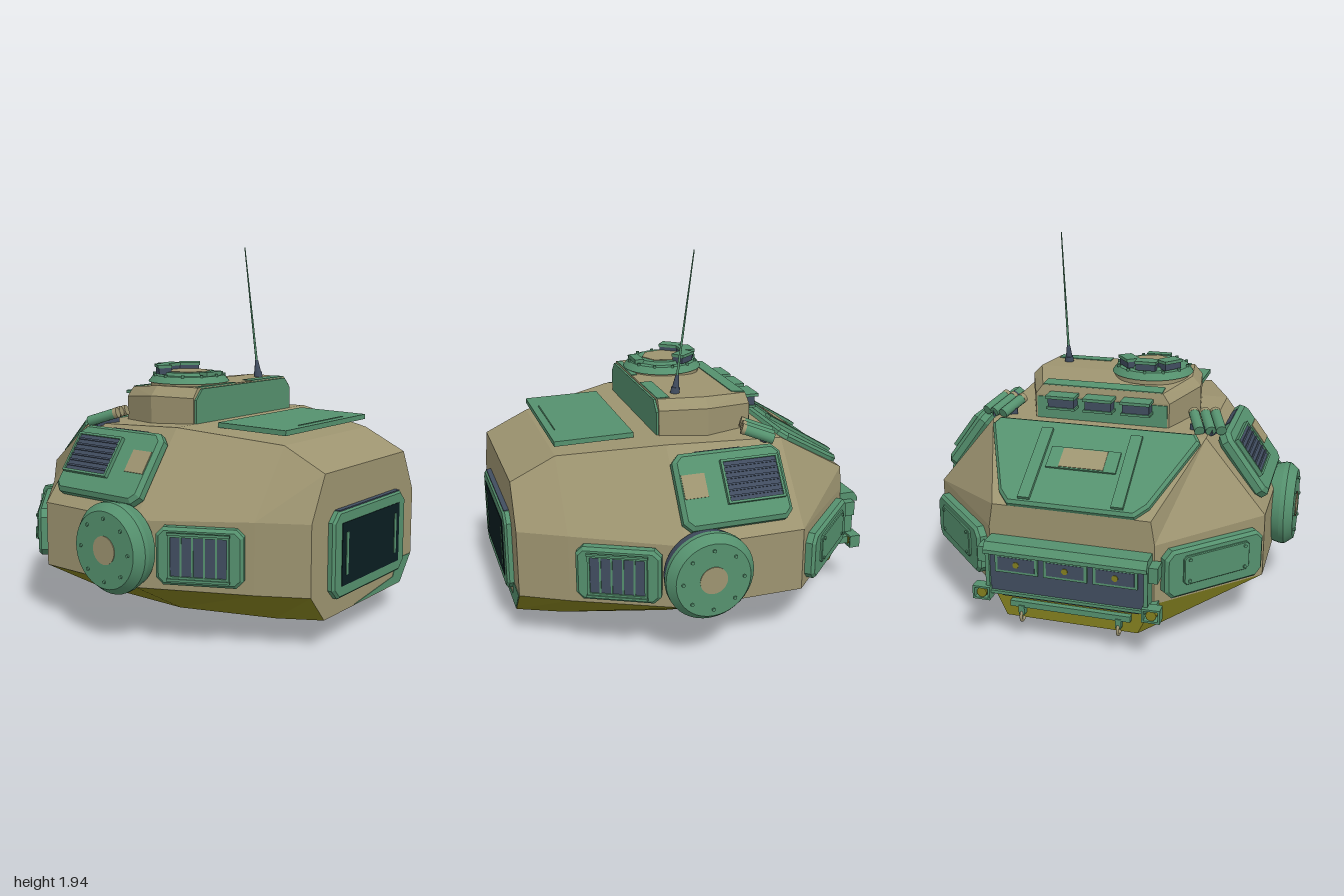
import * as THREE from 'three';
import { ConvexGeometry } from 'three/addons/geometries/ConvexGeometry.js';

const mat = (name, color) => Object.assign(new THREE.MeshStandardMaterial({ color }), { name });
const tan = mat('tan', 0x9d9470), green = mat('green', 0x55916e), olive = mat('olive', 0x83801f);
const slate = mat('slate', 0x414d60), glass = mat('dark glass', 0x0a1d21);

function add(parent, name, geometry, material, x = 0, y = 0, z = 0) {
  const m = new THREE.Mesh(geometry, material);
  m.name = name;
  m.position.set(x, y, z);
  parent.add(m);
  return m;
}
const box = (p, name, m, w, h, d, x, y, z) => add(p, name, new THREE.BoxGeometry(w, h, d), m, x, y, z);

// Bevelled plate from an outline, lying on local z = 0 and facing +z
function outline(p, name, m, pts, d, bevel = 0, x = 0, y = 0, z = 0) {
  const shape = new THREE.Shape(pts.map(([a, b]) => new THREE.Vector2(a, b)));
  const geo = new THREE.ExtrudeGeometry(shape, {
    depth: d - bevel, bevelEnabled: bevel > 0, bevelThickness: bevel, bevelSize: bevel, bevelOffset: -bevel, bevelSegments: 1,
  });
  return add(p, name, geo, m, x, y, z);
}
// Rectangle with cut corners
function cutRect(w, h, c) {
  const a = w / 2, b = h / 2;
  return [[-a + c, -b], [a - c, -b], [a, -b + c], [a, b - c], [a - c, b], [-a + c, b], [-a, b - c], [-a, -b + c]];
}
// Group on a surface: local z is the normal, local y points up the surface
function mount(parent, name, pos, normal) {
  const g = new THREE.Group(), n = new THREE.Vector3(...normal).normalize();
  const x = new THREE.Vector3(0, 1, 0).cross(n).normalize();
  g.quaternion.setFromRotationMatrix(new THREE.Matrix4().makeBasis(x, n.clone().cross(x), n));
  g.position.set(...pos);
  g.name = name;
  parent.add(g);
  return g;
}
function bolts(p, pts, z, r = 0.009) {
  for (const [x, y] of pts) add(p, 'bolt', new THREE.CylinderGeometry(r, r, 0.012, 6).rotateX(Math.PI / 2), green, x, y, z);
}
const circle = (n, r) => Array.from({ length: n }, (_, i) => [r * Math.cos(i * 2 * Math.PI / n), r * Math.sin(i * 2 * Math.PI / n)]);

// Grille: slate panel, green frame, thin bars
function grille(p, x, y, z, w, h, n, vertical, barMaterial) {
  box(p, 'grillePanel', slate, w, h, 0.012, x, y, z);
  for (const k of [-1, 1]) {
    box(p, 'grilleFrame', green, w + 0.012, 0.012, 0.03, x, y + k * h / 2, z);
    box(p, 'grilleFrame', green, 0.012, h, 0.03, x + k * w / 2, y, z);
  }
  for (let i = 1; i < n; i++) {
    const t = i / n - 0.5;
    if (vertical) box(p, 'grilleBar', barMaterial, 0.009, h, 0.02, x + t * w, y, z);
    else box(p, 'grilleBar', barMaterial, w, 0.009, 0.024, x, y + t * h, z);
  }
}

// Faceted hull lofted along z; each section is bottom, belt, shoulder, roof
function buildHull(root) {
  const sections = [
    [0.95, [0.38, 0.15], [0.5, 0.29], [0.5, 0.64], [0.39, 0.86]],
    [0.72, [0.45, 0.13], [0.63, 0.29], [0.63, 0.64], [0.39, 0.97]],
    [0.2, [0.55, 0.1], [0.88, 0.29], [0.88, 0.62], [0.57, 1.03]],
    [-0.42, [0.55, 0.1], [0.88, 0.29], [0.88, 0.62], [0.57, 1.0]],
    [-0.87, [0.34, 0.12], [0.42, 0.29], [0.42, 0.6], [0.4, 0.72]],
  ];
  const upper = [], lower = [];
  const quad = (out, a, b, c, d) => out.push(...a, ...b, ...c, ...a, ...c, ...d);
  const rings = sections.map(([z, ...p]) => [...p.map(([x, y]) => [x, y, z]), ...p.reverse().map(([x, y]) => [-x, y, z])]);
  for (let i = 0; i < rings.length - 1; i++) {
    const f = rings[i], b = rings[i + 1];
    for (let j = 0; j < 8; j++) {
      const k = (j + 1) % 8;
      quad(j === 0 || j >= 6 ? lower : upper, f[j], b[j], b[k], f[k]);
    }
  }
  const f = rings[0], b = rings[rings.length - 1];
  for (let j = 0; j < 3; j++) {
    quad(upper, f[7 - j], f[j], f[j + 1], f[6 - j]);
    quad(j ? upper : lower, b[j], b[7 - j], b[6 - j], b[j + 1]);
  }
  for (const [name, pos, m] of [['hullUpper', upper, tan], ['hullUnderside', lower, olive]]) {
    const g = new THREE.BufferGeometry();
    g.setAttribute('position', new THREE.Float32BufferAttribute(pos, 3));
    g.computeVertexNormals();
    add(root, name, g, m);
  }
}

function buildTurretTop(root) {
  // Low superstructure
  const pts = [];
  for (const s of [-1, 1]) for (const [x, z, top] of [[0.43, 0.19, 1.21], [0.47, -0.06, 1.21], [0.36, -0.33, 1.18]]) {
    pts.push(new THREE.Vector3(s * x, 0.98, z), new THREE.Vector3(s * x, top - 0.05, z), new THREE.Vector3(s * x * 0.9, top, z * 0.97));
  }
  add(root, 'superstructure', new ConvexGeometry(pts), tan);
  outline(root, 'superstructureFront', green, [[-0.42, 1.03], [0.42, 1.03], [0.42, 1.15], [0.37, 1.205], [-0.37, 1.205], [-0.42, 1.15]], 0.012, 0, 0, 0, 0.19);
  // Painted patches
  box(root, 'frontRoofPaint', green, 0.3, 0.006, 0.065, 0.23, 1.211, 0.152);
  box(root, 'frontRoofPaint', green, 0.3, 0.006, 0.03, -0.22, 1.211, 0.17);
  box(root, 'rearRoofPaint', green, 0.64, 0.006, 0.075, 0, 1.186, -0.282).rotation.x = -0.11;
  box(root, 'rearFacePaint', green, 0.7, 0.12, 0.008, 0, 1.06, -0.332);
  // Rear periscopes
  for (const x of [-0.2, 0, 0.2]) {
    box(root, 'rearPeriscopeHood', green, 0.155, 0.016, 0.09, x, 1.142, -0.375);
    box(root, 'rearPeriscope', slate, 0.14, 0.05, 0.07, x, 1.11, -0.365);
    box(root, 'rearPeriscopeBase', green, 0.155, 0.012, 0.075, x, 1.08, -0.37);
  }
  // Hatch with periscopes
  const hatch = new THREE.Group();
  hatch.name = 'hatch';
  hatch.position.set(-0.2, 1.2, -0.03);
  root.add(hatch);
  add(hatch, 'hatchBase', new THREE.CylinderGeometry(0.205, 0.205, 0.03, 32), tan, 0, 0.01, 0);
  add(hatch, 'hatchRing', new THREE.CylinderGeometry(0.19, 0.217, 0.035, 32), green, 0, 0.038, 0);
  add(hatch, 'hatchLid', new THREE.CylinderGeometry(0.14, 0.15, 0.02, 24), green, 0, 0.062, 0);
  add(hatch, 'hatchPaint', new THREE.CylinderGeometry(0.115, 0.115, 0.006, 7), tan, 0, 0.073, 0);
  for (const [x, z] of circle(12, 0.188)) add(hatch, 'bolt', new THREE.CylinderGeometry(0.009, 0.009, 0.014, 6), green, x, 0.058, z);
  for (const a of [-0.9, 0, 0.9]) {
    const g = new THREE.Group();
    g.name = 'hatchPeriscope';
    g.rotation.y = a;
    hatch.add(g);
    box(g, 'periscopeHood', green, 0.115, 0.016, 0.075, 0, 0.102, -0.14);
    box(g, 'periscopeGlass', slate, 0.105, 0.035, 0.065, 0, 0.078, -0.138);
  }
  box(hatch, 'hatchHinge', green, 0.13, 0.025, 0.05, 0, 0.065, 0.15);
  // Raked antenna
  const antenna = new THREE.Group();
  antenna.name = 'antenna';
  antenna.position.set(0.305, 1.2, 0.065);
  antenna.rotation.x = -0.135;
  root.add(antenna);
  add(antenna, 'antennaFoot', new THREE.CylinderGeometry(0.022, 0.026, 0.04, 12), slate, 0, 0.02, 0);
  add(antenna, 'antennaSpring', new THREE.CylinderGeometry(0.009, 0.019, 0.07, 12), slate, 0, 0.07, 0);
  add(antenna, 'antennaWhip', new THREE.CylinderGeometry(0.003, 0.007, 0.65, 8), green, 0, 0.42, 0);
}

// Fittings repeated on both flanks
function buildSide(root, s) {
  // Round hub
  const hub = mount(root, 'sideHub', [s * 0.86, 0.48, 0.1], [s, 0, 0]);
  const disc = (name, m, r0, r1, d, z) => add(hub, name, new THREE.CylinderGeometry(r1, r0, d, 40).rotateX(Math.PI / 2), m, 0, 0, z + d / 2);
  disc('hubRim', s > 0 ? slate : green, 0.21, 0.225, 0.06, 0);
  disc('hubFlange', green, 0.225, 0.225, 0.025, 0.06);
  disc('hubCover', green, 0.225, 0.19, 0.045, 0.085);
  disc('hubPaint', tan, 0.07, 0.07, 0.006, 0.128);
  bolts(hub, circle(8, 0.155), 0.132);

  // Forward vent
  const vent = mount(root, 'forwardVent', [s * 0.745, 0.47, 0.495], [s * 0.89, 0, 0.45]);
  outline(vent, 'ventPlate', green, cutRect(0.42, 0.28, 0.035), 0.05, 0.015);
  grille(vent, 0, 0.005, 0.055, 0.28, 0.2, 5, true, green);
  for (const y of [-0.105, 0.115]) box(vent, 'ventRail', green, 0.3, 0.012, 0.014, 0, y, 0.07);

  // Rear access plate
  const rear = mount(root, 'rearAccess', [s * 0.65, 0.445, -0.645], [s * 0.7, 0, -0.714]);
  outline(rear, 'accessPlate', green, cutRect(0.57, 0.25, 0.04), 0.05, 0.015);
  outline(rear, 'accessCover', green, cutRect(0.38, 0.15, 0.015), 0.012, 0.004, 0, 0.015, 0.05);
  bolts(rear, [[-0.16, -0.04], [0.16, -0.04], [-0.16, 0.07], [0.16, 0.07]], 0.063);

  // Sloped upper panel with louvres
  const panel = mount(root, 'upperPanel', [s * 0.734, 0.828, -0.08], [s * 0.807, 0.59, 0]);
  outline(panel, 'upperPanelPlate', green, cutRect(0.57, 0.385, 0.04), 0.055, 0.02);
  grille(panel, s * 0.1, 0.02, 0.062, 0.29, 0.21, 7, false, slate);
  box(panel, 'upperPanelPaint', tan, 0.12, 0.12, 0.006, -s * 0.2, 0.02, 0.056);
  box(panel, 'upperEdgePaint', slate, 0.24, 0.008, 0.034, -s * 0.04, 0.192, 0.018);

  // Grenade dischargers
  [[0.605, -0.28], [0.555, -0.3], [0.5, -0.315]].forEach(([x, z]) => {
    const tube = mount(root, 'discharger', [s * x, 1.045, z], [-s * 0.35, 0.3, 0.85]);
    add(tube, 'dischargerTube', new THREE.CylinderGeometry(0.027, 0.027, 0.16, 12).rotateX(Math.PI / 2), green);
    add(tube, 'dischargerCap', new THREE.CylinderGeometry(0.028, 0.028, 0.02, 12).rotateX(Math.PI / 2), tan, 0, 0, 0.08);
  });
  box(root, 'dischargerBracket', slate, 0.13, 0.04, 0.06, s * 0.54, 1.015, -0.32).rotation.y = s * 0.35;

  // Rear lamp cage and tow ring
  for (const y of [0.255, 0.315]) box(root, 'lampCage', green, 0.09, 0.01, 0.06, s * 0.43, y, -0.95);
  for (const x of [0.39, 0.47]) box(root, 'lampCage', green, 0.01, 0.07, 0.06, s * x, 0.285, -0.95);
  add(root, 'rearLamp', new THREE.CylinderGeometry(0.026, 0.026, 0.05, 12).rotateX(Math.PI / 2), olive, s * 0.43, 0.285, -0.948);
  box(root, 'lampMount', green, 0.06, 0.04, 0.09, s * 0.41, 0.285, -0.89);
  box(root, 'upperBracket', green, 0.05, 0.08, 0.08, s * 0.43, 0.48, -0.905);
  add(root, 'towRing', new THREE.TorusGeometry(0.028, 0.008, 8, 20).rotateY(Math.PI / 2), tan, s * 0.25, 0.14, -0.885);
  box(root, 'towLug', green, 0.03, 0.05, 0.05, s * 0.25, 0.175, -0.88);
}

function buildRear(root) {
  // Sloped engine deck
  const deck = mount(root, 'engineDeck', [0, 0.86, -0.645], [0, 0.849, -0.528]);
  outline(deck, 'deckPlate', green, [[-0.32, -0.265], [0.32, -0.265], [0.38, -0.2], [0.55, 0.215], [0.52, 0.265], [-0.52, 0.265], [-0.55, 0.215], [-0.38, -0.2]], 0.035, 0.015);
  for (const x of [-0.235, 0.235]) box(deck, 'deckRail', green, 0.06, 0.44, 0.02, x, -0.02, 0.042);
  box(deck, 'deckHatch', green, 0.36, 0.13, 0.012, 0, 0.025, 0.039);
  box(deck, 'deckHatchPaint', tan, 0.23, 0.115, 0.006, 0, 0.025, 0.045);

  // Rear lamp housing
  const h = mount(root, 'rearHousing', [0, 0.42, -0.86], [0, 0, -1]);
  box(h, 'housingPanel', slate, 0.8, 0.22, 0.085, 0, -0.02, 0.0425);
  outline(h, 'housingHood', green, [[0, 0.085], [0.125, 0.085], [0.125, 0.105], [0.1, 0.14], [0, 0.14]], 0.82, 0, 0.41, 0, 0).rotation.y = -Math.PI / 2;
  box(h, 'housingLedge', green, 0.8, 0.016, 0.1, 0, -0.13, 0.05);
  for (const x of [-0.4, 0.4]) box(h, 'housingCheek', green, 0.02, 0.22, 0.1, x, -0.02, 0.05);
  for (const x of [-0.25, 0, 0.25]) {
    box(h, 'windowFrame', green, 0.22, 0.095, 0.014, x, 0.03, 0.09);
    box(h, 'window', slate, 0.19, 0.07, 0.008, x, 0.03, 0.095);
    add(h, 'windowLamp', new THREE.CylinderGeometry(0.016, 0.016, 0.008, 10).rotateX(Math.PI / 2), olive, x, 0.03, 0.099);
  }
  box(root, 'rearSkirt', slate, 0.7, 0.05, 0.03, 0, 0.265, -0.88);
  box(root, 'towBar', green, 0.62, 0.03, 0.04, 0, 0.205, -0.88);
}

export function createModel() {
  const root = new THREE.Group();
  root.name = 'turret';
  buildHull(root);

  // Mounting ring underneath
  add(root, 'mountNeck', new THREE.CylinderGeometry(0.245, 0.245, 0.1, 40), tan, 0, 0.08, 0.1);
  add(root, 'mountFlange', new THREE.CylinderGeometry(0.262, 0.262, 0.025, 40), green, 0, 0.028, 0.1);
  add(root, 'mountPlate', new THREE.CylinderGeometry(0.25, 0.25, 0.02, 40), green, 0, 0.012, 0.1);
  add(root, 'mountPaint', new THREE.CylinderGeometry(0.08, 0.08, 0.006, 24), tan, 0, 0.003, 0.1);

  // Front window
  outline(root, 'windowSurround', green, cutRect(0.71, 0.43, 0.05), 0.035, 0.012, 0, 0.455, 0.95);
  box(root, 'frontWindow', glass, 0.57, 0.31, 0.008, 0, 0.455, 0.984);
  for (const x of [-0.24, 0.24]) box(root, 'windowStrip', green, 0.02, 0.21, 0.006, x, 0.455, 0.988);
  box(root, 'surroundTopPaint', slate, 0.6, 0.006, 0.028, 0, 0.67, 0.962);
  outline(root, 'noseLowerPaint', green, [[-0.1, 0.155], [0.38, 0.155], [0.49, 0.285], [0.34, 0.29], [0.3, 0.2]], 0.006, 0, 0, 0, 0.947);

  // Roof plate
  box(root, 'roofPlate', green, 0.76, 0.026, 0.41, 0, 1.029, 0.515).rotation.x = 0.01;
  box(root, 'roofPlateSeam', green, 0.42, 0.004, 0.006, 0, 1.043, 0.68);

  buildTurretTop(root);
  for (const s of [-1, 1]) buildSide(root, s);
  buildRear(root);
  return root;
}
